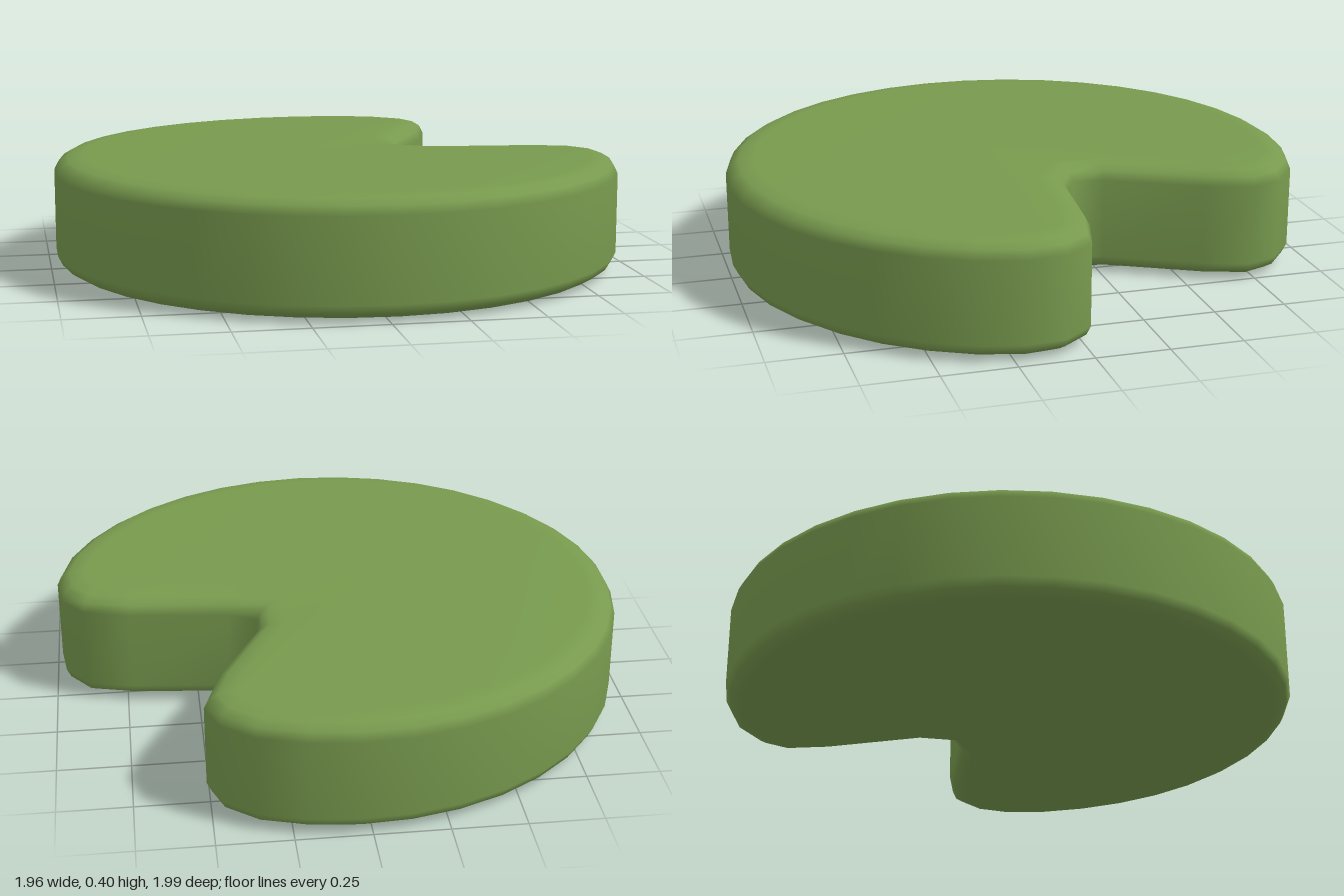
import * as THREE from 'three';

const padGreen = new THREE.MeshStandardMaterial({ color: 0x789a4e });
padGreen.name = 'pad green';

// Outline in x and z: rounded lobes and the notch, then the long arc of the rim
function makeOutline() {
  const points = [
    [0.36, -0.93], [0.47, -0.84], [0.51, -0.73], [0.46, -0.57],
    [0.30, -0.26], [0.29, -0.15], [0.39, -0.10], [0.73, -0.065],
    [0.89, -0.02], [0.965, 0.08], [0.98, 0.21],
  ].map(([x, z]) => new THREE.Vector2(x, z));
  const steps = 28;
  const start = THREE.MathUtils.degToRad(21.8);
  const end = THREE.MathUtils.degToRad(290.4);
  for (let i = 0; i < steps; i++) {
    const a = start + (end - start) * i / steps;
    points.push(new THREE.Vector2(0.015 + 0.997 * Math.cos(a), 0.997 * Math.sin(a)));
  }
  return points;
}

// Stack inset copies of the outline to round the edges, then close both faces
function makePad(outline, profile, centre) {
  const n = outline.length;
  const inward = outline.map((p, i) => {
    const before = p.clone().sub(outline[(i + n - 1) % n]).normalize();
    const after = outline[(i + 1) % n].clone().sub(p).normalize();
    const t = before.add(after).normalize();
    return new THREE.Vector2(-t.y, t.x);
  });
  const positions = [];
  const index = [];
  for (const [inset, y] of profile) {
    outline.forEach((p, i) => {
      positions.push(p.x + inward[i].x * inset, y, p.y + inward[i].y * inset);
    });
  }
  const last = (profile.length - 1) * n;
  const bottom = profile.length * n;
  positions.push(centre.x, 0, centre.y, centre.x, 0.4, centre.y);
  for (let i = 0; i < n; i++) {
    const j = (i + 1) % n;
    for (let r = 0; r < last; r += n) {
      index.push(r + i, r + n + i, r + j, r + j, r + n + i, r + n + j);
    }
    index.push(bottom, i, j, bottom + 1, last + j, last + i);
  }
  const geometry = new THREE.BufferGeometry();
  geometry.setAttribute('position', new THREE.Float32BufferAttribute(positions, 3));
  geometry.setIndex(index);
  geometry.computeVertexNormals();
  return geometry;
}

export function createModel() {
  const group = new THREE.Group();
  group.name = 'lilyPad';
  // Rounded edge as [inset, height], mirrored for the top
  const lower = [[0.1, 0.004], [0.045, 0.012], [0.015, 0.03], [0, 0.06]];
  const upper = lower.map(([inset, y]) => [inset, 0.4 - y]).reverse();
  const pad = new THREE.Mesh(
    makePad(makeOutline(), [...lower, ...upper], new THREE.Vector2(-0.15, 0.1)),
    padGreen,
  );
  pad.name = 'notchedPad';
  group.add(pad);
  return group;
}
